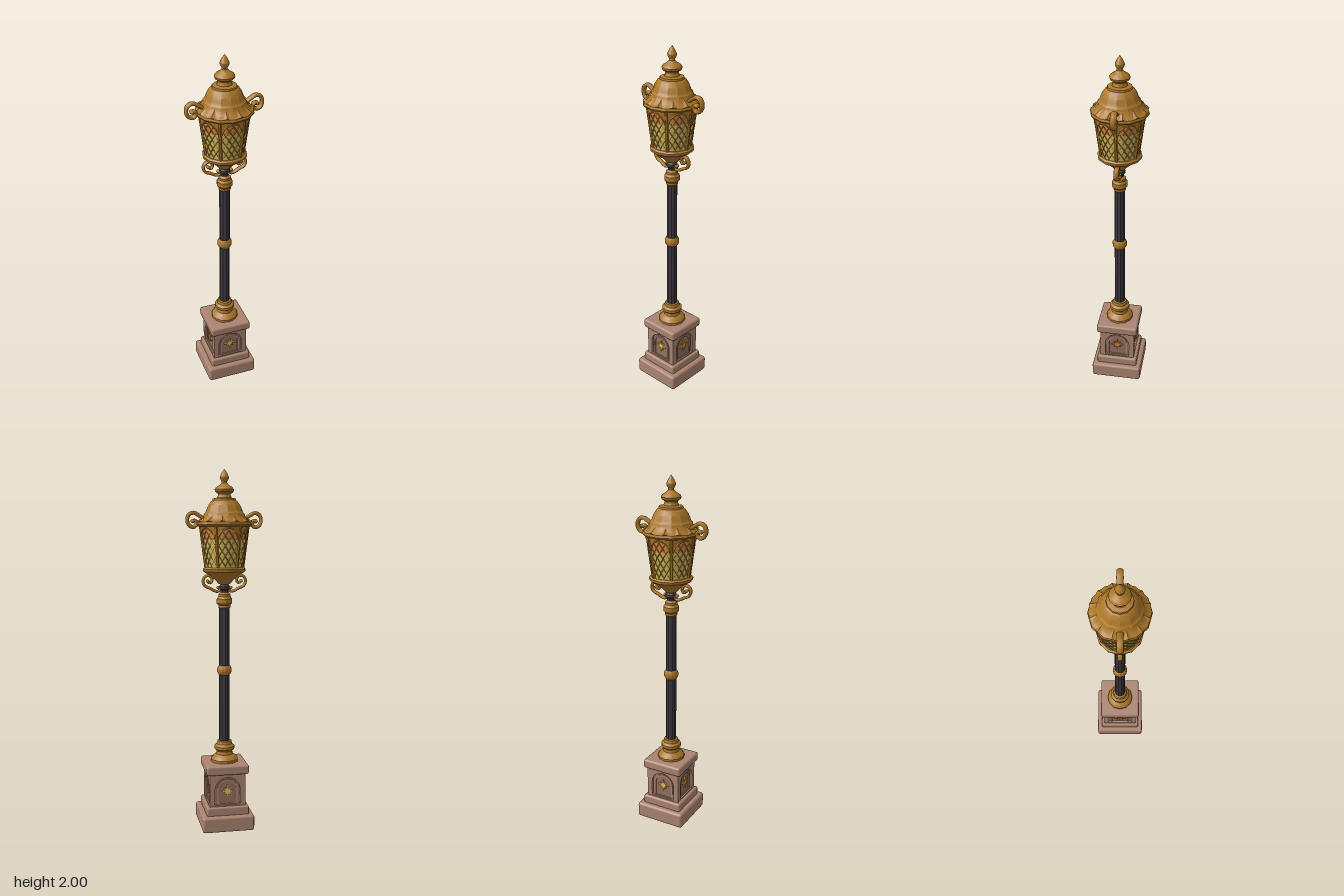
import * as THREE from 'three';
import { toCreasedNormals } from 'three/addons/utils/BufferGeometryUtils.js';
import { RoundedBoxGeometry } from 'three/addons/geometries/RoundedBoxGeometry.js';

const material = (name, color, side = THREE.FrontSide) => {
  const m = new THREE.MeshStandardMaterial({ color, side });
  m.name = name;
  return m;
};

export function createModel() {
  const root = new THREE.Group();
  root.name = 'streetLamp';
  const stone = material('stone', 0xab8470);
  const darkStone = material('recessed stone', 0x94705f);
  const brass = material('brass', 0xac7728, THREE.DoubleSide);
  const iron = material('dark iron', 0x3d373d);
  const glass = material('yellow glass', 0xd2bd5c, THREE.DoubleSide);
  const amber = material('amber glass', 0xdc8844, THREE.DoubleSide);
  const gold = material('pale gold', 0xe6bd58);
  const copper = material('orange copper', 0xd08434);

  const add = (name, geo, mat, parent = root) => {
    const mesh = new THREE.Mesh(geo, mat);
    mesh.name = name;
    parent.add(mesh);
    return mesh;
  };
  const lathe = (name, pts, mat = brass, sides = 12) => add(name, toCreasedNormals(
    new THREE.LatheGeometry(pts.map(([r, y]) => new THREE.Vector2(r, y)), sides), 0.45), mat);
  const block = (name, w, y0, y1, r) =>
    add(name, new RoundedBoxGeometry(w, y1 - y0, w, 1, r), stone).position.y = (y0 + y1) / 2;
  const bar = (name, a, b, r, mat, parent, sides = 4) => {
    const m = add(name, toCreasedNormals(new THREE.CylinderGeometry(r, r, a.distanceTo(b), sides), 0.4), mat, parent);
    m.position.copy(a).lerp(b, 0.5);
    m.quaternion.setFromUnitVectors(new THREE.Vector3(0, 1, 0), b.clone().sub(a).normalize());
  };

  // Pedestal blocks
  block('baseSlab', 0.294, 0, 0.09, 0.014);
  block('baseStep', 0.24, 0.085, 0.138, 0.01);
  block('pedestalCap', 0.24, 0.322, 0.376, 0.012);
  const core = add('pedestalCore', new THREE.BoxGeometry(0.178, 0.2, 0.178), darkStone);
  core.position.y = 0.23;

  // Arched frame and star on each pedestal face
  const arch = (P, w, y0, yc) => {
    const p = new P();
    p.moveTo(-w, y0);
    p.lineTo(w, y0);
    p.lineTo(w, yc);
    p.absarc(0, yc, w, 0, Math.PI, false);
    p.lineTo(-w, y0);
    return p;
  };
  const frameShape = new THREE.Shape();
  frameShape.moveTo(-0.102, 0.13);
  frameShape.lineTo(0.102, 0.13);
  frameShape.lineTo(0.102, 0.33);
  frameShape.lineTo(-0.102, 0.33);
  frameShape.closePath();
  frameShape.holes.push(arch(THREE.Path, 0.072, 0.146, 0.233));
  const ribShape = arch(THREE.Shape, 0.06, 0.14, 0.233);
  ribShape.holes.push(arch(THREE.Path, 0.05, 0.15, 0.233));
  const starShape = new THREE.Shape();
  for (let i = 0; i < 16; i++) {
    const r = i % 2 ? 0.014 : i % 4 ? 0.027 : 0.037, a = i * Math.PI / 8;
    starShape[i ? 'lineTo' : 'moveTo'](r * Math.sin(a), r * Math.cos(a));
  }
  const extrude = (s, depth) => new THREE.ExtrudeGeometry(s, { depth, bevelEnabled: false, curveSegments: 8 });
  for (let i = 0; i < 4; i++) {
    const face = new THREE.Group();
    face.name = 'pedestalFace';
    face.rotation.y = i * Math.PI / 2;
    add('archFrame', extrude(frameShape, 0.015), stone, face).position.z = 0.087;
    add('archRib', extrude(ribShape, 0.008), stone, face).position.z = 0.087;
    add('star', extrude(starShape, 0.009), i % 2 ? copper : gold, face).position.set(0, 0.225, 0.088);
    root.add(face);
  }

  // Post with brass collars
  lathe('pole', [[0.03, 0.47], [0.029, 1.26], [0.022, 1.3], [0.022, 1.41]], iron, 10);
  lathe('lowerCollar', [[0, 0.374], [0.078, 0.374], [0.078, 0.39], [0.066, 0.405], [0.048, 0.418], [0.044, 0.435],
    [0.058, 0.448], [0.058, 0.464], [0.044, 0.476], [0.04, 0.494], [0.028, 0.497]]);
  lathe('middleRing', [[0.028, 0.872], [0.034, 0.878], [0.041, 0.892], [0.041, 0.91], [0.034, 0.924], [0.028, 0.928]]);
  lathe('upperCollar', [[0.028, 1.245], [0.034, 1.252], [0.034, 1.264], [0.043, 1.275], [0.043, 1.3],
    [0.034, 1.313], [0.034, 1.325], [0.022, 1.335]]);
  lathe('ironKnot', [[0.02, 1.345], [0.03, 1.355], [0.03, 1.37], [0.02, 1.38]], iron);

  // Lantern bowl and rim
  lathe('lanternBowl', [[0.02, 1.378], [0.032, 1.382], [0.05, 1.402], [0.08, 1.428], [0.098, 1.438], [0.117, 1.45],
    [0.12, 1.464], [0.11, 1.473], [0, 1.474]]);

  // Curved glass panels: u runs -1..1 across a panel, v runs 0..1 upward
  const at = (u, v, out = 0) => {
    const a = u * Math.PI / 6, r = 0.102 + 0.029 * v + out;
    return new THREE.Vector3(r * Math.sin(a), 1.468 + 0.225 * v, r * Math.cos(a));
  };
  const patch = (low, high, out) => {
    const pos = [], idx = [], n = 16;
    for (let i = 0; i <= n; i++) {
      const u = -1 + 2 * i / n;
      pos.push(...at(u, low(u), out).toArray(), ...at(u, high(u), out).toArray());
      if (i < n) idx.push(2 * i, 2 * i + 2, 2 * i + 1, 2 * i + 1, 2 * i + 2, 2 * i + 3);
    }
    const g = new THREE.BufferGeometry();
    g.setAttribute('position', new THREE.Float32BufferAttribute(pos, 3));
    g.setIndex(idx);
    g.computeVertexNormals();
    return g;
  };
  const archTop = u => 0.58 + 0.37 * Math.sqrt(Math.max(0, 1 - Math.pow(u / 0.92, 2)));
  const split = u => Math.min(0.66 + 0.12 * Math.abs(((u + 2) * 1.5) % 1 - 0.5), archTop(u));
  for (let k = 0; k < 6; k++) {
    const panel = new THREE.Group();
    panel.name = 'lanternPanel';
    panel.rotation.y = k * Math.PI / 3;
    add('yellowPane', patch(() => 0, split, 0), glass, panel);
    add('amberPane', patch(split, archTop, 0), amber, panel);
    add('archSpandrel', patch(archTop, () => 1, 0.003), brass, panel);
    for (let i = 0; i < 12; i++) {
      const u0 = -1 + i / 6, u1 = u0 + 1 / 6;
      bar('archTrim', at(u0, archTop(u0), 0.003), at(u1, archTop(u1), 0.003), 0.004, brass, panel);
    }
    // Diamond lattice, clipped to the pane
    for (const s of [-1, 1]) for (let j = -3; j <= 3; j++) {
      const c = 0.42 + j * 0.24, line = u => c + 0.42 * u;
      const inside = u => line(u) >= 0 && line(u) <= archTop(u);
      for (let i = 0; i < 8; i++) {
        const u0 = -0.92 + i * 0.23, u1 = u0 + 0.23;
        if (inside(u0) && inside(u1)) {
          bar('lattice', at(s * u0, line(u0), 0.001), at(s * u1, line(u1), 0.001), 0.0026, brass, panel);
        }
      }
    }
    bar('cornerPost', at(1, -0.02, 0.001), at(1, 1.02, 0.001), 0.0085, brass, panel, 6);
    root.add(panel);
  }

  // Roof, crown and finial
  lathe('roof', [[0, 1.688], [0.13, 1.688], [0.148, 1.694], [0.154, 1.703], [0.15, 1.715], [0.132, 1.727], [0.116, 1.748],
    [0.112, 1.762], [0.104, 1.77], [0.099, 1.782], [0.09, 1.804], [0.075, 1.826], [0.066, 1.832],
    [0.064, 1.842], [0.04, 1.847], [0.036, 1.858]]);
  lathe('finial', [[0.036, 1.855], [0.034, 1.866], [0.05, 1.878], [0.054, 1.89], [0.046, 1.902], [0.026, 1.914],
    [0.016, 1.924], [0.015, 1.932], [0.024, 1.948], [0.025, 1.958], [0.014, 1.98], [0, 2]]);
  for (let k = 0; k < 12; k++) {
    const leaf = new THREE.Group();
    leaf.name = 'eaveLeaf';
    leaf.rotation.y = (k + 0.5) * Math.PI / 6;
    const m = add('leaf', toCreasedNormals(new THREE.ConeGeometry(0.02, 0.05, 4), 0.3), brass, leaf);
    m.scale.z = 0.45;
    m.position.set(0, 1.733, 0.126);
    m.rotation.x = -0.8;
    root.add(leaf);
  }

  // Flattened scrolls on both sides
  const scroll = (name, pts, r, flat) => {
    const curve = new THREE.CatmullRomCurve3(pts.map(([x, y]) => new THREE.Vector3(x, y, 0)));
    for (const turn of [0, Math.PI]) {
      const side = new THREE.Group();
      side.name = name;
      side.rotation.y = turn;
      add('scrollBand', new THREE.TubeGeometry(curve, 40, r, 8).scale(1, 1, flat), brass, side);
      for (const p of [pts[0], pts[pts.length - 1]]) {
        const end = add('scrollEnd', new THREE.SphereGeometry(r * 1.15, 10, 8), brass, side);
        end.position.set(p[0], p[1], 0);
        end.scale.z = flat;
      }
      root.add(side);
    }
  };
  scroll('roofScroll', [[0.115, 1.735], [0.14, 1.752], [0.168, 1.766], [0.193, 1.758], [0.204, 1.73],
    [0.194, 1.7], [0.17, 1.69], [0.154, 1.705], [0.16, 1.724], [0.174, 1.722]], 0.0105, 1.6);
  scroll('bracketScroll', [[0.036, 1.362], [0.026, 1.354], [0.032, 1.342], [0.052, 1.343], [0.08, 1.358], [0.108, 1.371],
    [0.119, 1.398], [0.106, 1.424], [0.08, 1.425], [0.068, 1.402], [0.08, 1.387], [0.094, 1.398]], 0.008, 1.7);

  return root;
}
